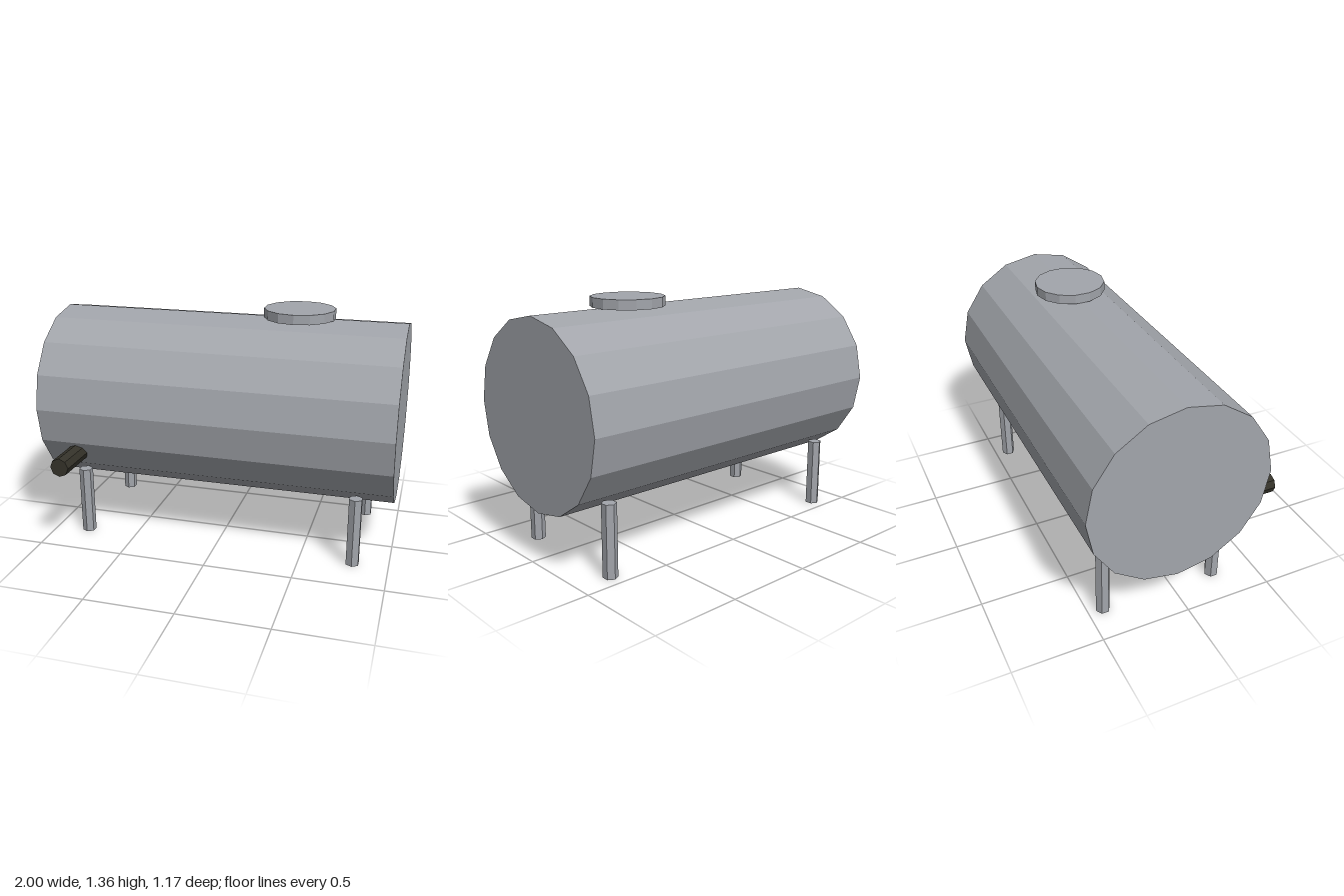
import * as THREE from 'three';

export function createModel() {
  const group = new THREE.Group();
  const paint = (name, color) => {
    const m = new THREE.MeshStandardMaterial({ color, flatShading: true });
    m.name = name;
    return m;
  };
  const steel = paint('grey steel', 0xa2a5ab);
  const darkMetal = paint('dark pipe', 0x35332a);

  const axisZ = -0.08; // tank axis lies slightly behind the centre

  // Faceted cylinder, optionally laid along the x or z axis
  function cylinder(name, material, radius, length, sides, [x, y, z], axis = 'y') {
    const geometry = new THREE.CylinderGeometry(radius, radius, length, sides);
    if (axis === 'x') geometry.rotateZ(Math.PI / 2);
    if (axis === 'z') geometry.rotateX(Math.PI / 2);
    const mesh = new THREE.Mesh(geometry, material);
    mesh.name = name;
    mesh.position.set(x, y, z);
    group.add(mesh);
  }

  // Horizontal tank
  cylinder('tank', steel, 0.507, 2, 16, [0, 0.803, axisZ], 'x');

  // Round hatch lid resting on the top ridge
  cylinder('hatch', steel, 0.2, 0.053, 14, [0.4, 1.336, axisZ]);

  // Four hexagonal legs
  for (const [sideName, x] of [['Left', 0.8], ['Right', -0.8]]) {
    for (const [endName, dz] of [['front', 0.335], ['back', -0.335]]) {
      cylinder(`${endName}${sideName}Leg`, steel, 0.04, 0.4, 6, [x, 0.2, axisZ + dz]);
    }
  }

  // Outlet pipe low on the front
  cylinder('outletPipe', darkMetal, 0.0535, 0.267, 8, [-0.8, 0.536, 0.4535], 'z');

  return group;
}
